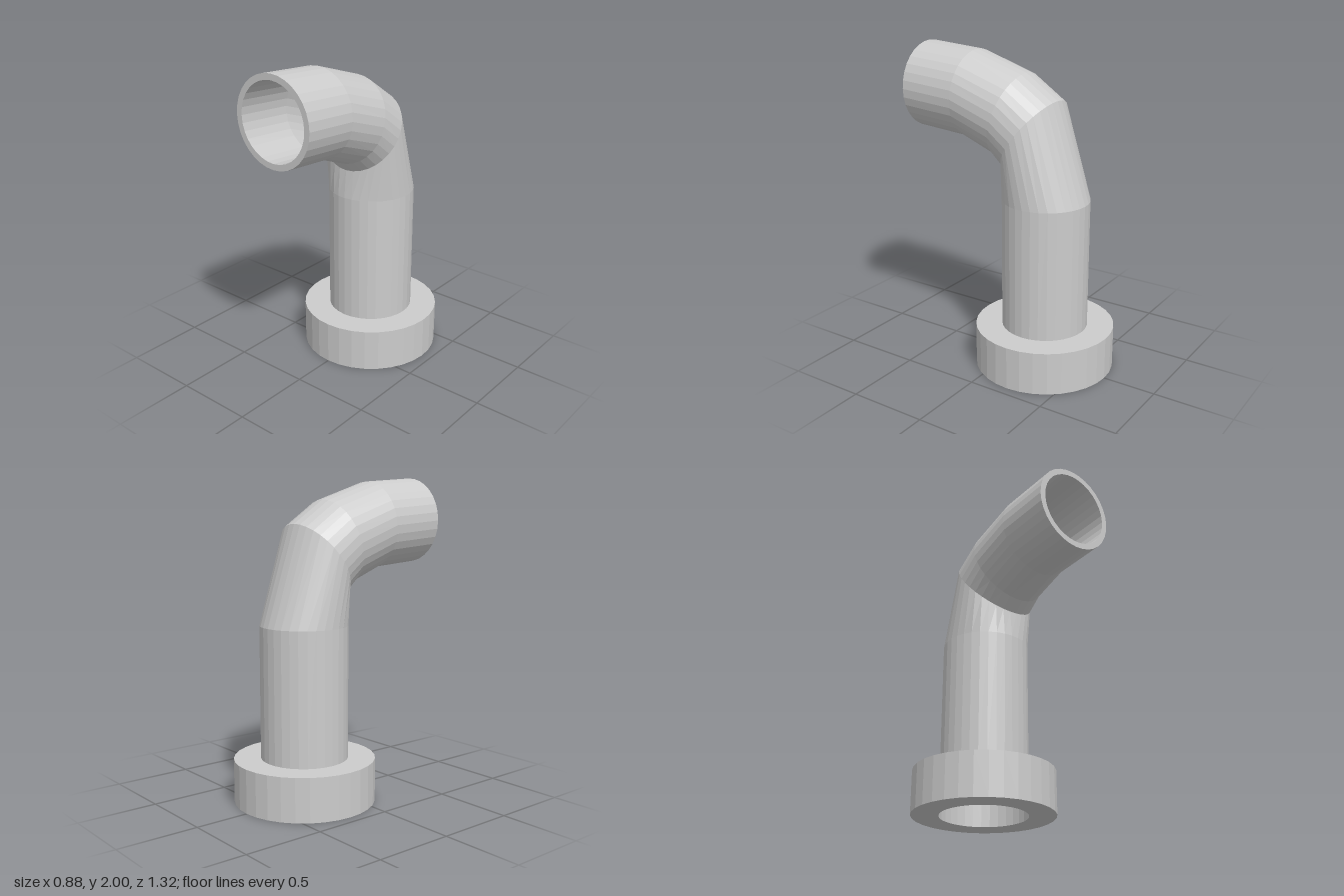
import * as THREE from 'three';

const SIDES = 32;
const OUTER = 0.272;
const INNER = 0.235;
const BASE_Z = -0.22;
const COLLAR_HEIGHT = 0.273;

// Joints of the bent pipe as [z, y] pairs: outside of the bend, inside of the bend
const JOINTS = [
  [[-0.492, COLLAR_HEIGHT], [0.052, COLLAR_HEIGHT]],
  [[-0.492, 1.1], [0.052, 1.1]],
  [[-0.29, 1.713], [0.033, 1.28]],
  [[-0.073, 1.86], [0.098, 1.343]],
  [[0.284, 1.973], [0.32, 1.432]],
  [[0.659, 2.0], [0.661, 1.458]],
];

// One circular section across a joint
function ring([[z0, y0], [z1, y1]], radius) {
  const centre = new THREE.Vector3(0, (y0 + y1) / 2, (z0 + z1) / 2);
  const across = new THREE.Vector3(0, y0 - y1, z0 - z1).normalize();
  return Array.from({ length: SIDES }, (_, i) => {
    const a = (i / SIDES) * Math.PI * 2;
    const p = centre.clone().addScaledVector(across, radius * Math.cos(a));
    p.x = radius * Math.sin(a);
    return p;
  });
}

// Outer wall up, rim, inner wall back down, then the bottom rim
function pipeGeometry() {
  const rings = [
    ...JOINTS.map((j) => ring(j, OUTER)),
    ...[...JOINTS].reverse().map((j) => ring(j, INNER)),
  ];
  const points = [];
  rings.forEach((a, r) => {
    const b = rings[(r + 1) % rings.length];
    for (let i = 0; i < SIDES; i++) {
      const n = (i + 1) % SIDES;
      points.push(a[i], b[i], a[n], b[i], b[n], a[n]);
    }
  });
  const geometry = new THREE.BufferGeometry().setFromPoints(points);
  geometry.computeVertexNormals();
  return geometry;
}

export function createModel() {
  const group = new THREE.Group();
  group.name = 'bentPipe';
  const material = new THREE.MeshStandardMaterial({ color: 0xcccccc, flatShading: true });

  // Base collar with a through hole
  const profile = [
    [OUTER, 0], [0.44, 0], [0.44, COLLAR_HEIGHT], [OUTER, COLLAR_HEIGHT], [OUTER, 0],
  ].map(([r, y]) => new THREE.Vector2(r, y));
  const collar = new THREE.Mesh(new THREE.LatheGeometry(profile, SIDES), material);
  collar.name = 'baseCollar';
  collar.position.z = BASE_Z;
  group.add(collar);

  // Hollow pipe standing on the collar
  const pipe = new THREE.Mesh(pipeGeometry(), material);
  pipe.name = 'elbowPipe';
  group.add(pipe);

  return group;
}
